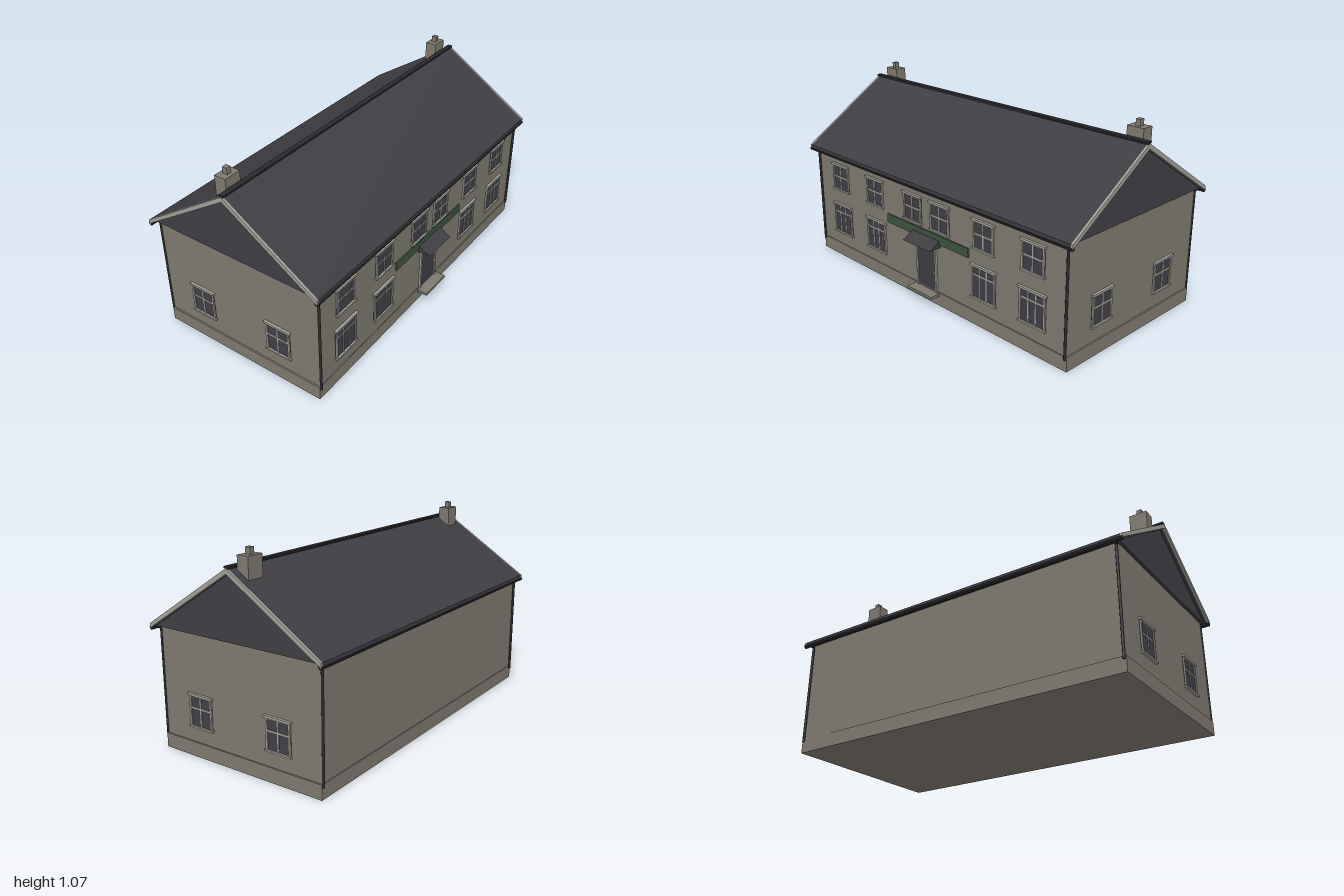
import * as THREE from 'three';

const paint = (name, color, side = THREE.FrontSide) => {
  const m = new THREE.MeshStandardMaterial({ color, side });
  m.name = name;
  return m;
};

export function createModel() {
  const stone = paint('stone', 0x7f7a70);
  const slate = paint('slate', 0x3f3e43);
  const trim = paint('pale trim', 0xa0a098);
  const glass = paint('dark glass', 0x403f47);
  const iron = paint('black iron', 0x2a2a2d);
  const green = paint('sign green', 0x3e543f);

  const house = new THREE.Group();
  house.name = 'house';
  const CX = -0.016; // middle of the house across its width

  function add(name, geo, mat, parent = house) {
    const m = new THREE.Mesh(geo, mat);
    m.name = name;
    parent.add(m);
    return m;
  }
  // box given by its lower and upper limits
  function box(name, mat, x0, x1, y0, y1, z0, z1, parent = house) {
    const m = add(name, new THREE.BoxGeometry(x1 - x0, y1 - y0, z1 - z0), mat, parent);
    m.position.set((x0 + x1) / 2, (y0 + y1) / 2, (z0 + z1) / 2);
    return m;
  }
  // x-y profile drawn out from z0 to z1
  function prism(name, mat, pts, z0, z1, parent = house) {
    const shape = new THREE.Shape(pts.map(p => new THREE.Vector2(p[0], p[1])));
    const geo = new THREE.ExtrudeGeometry(shape, { depth: z1 - z0, bevelEnabled: false });
    geo.translate(0, 0, z0);
    return add(name, geo, mat, parent);
  }

  // Walls and plinth
  box('plinth', stone, -0.503, 0.471, 0, 0.075, -0.965, 0.965);
  box('walls', stone, -0.498, 0.466, 0.075, 0.632, -0.957, 0.957);

  // Roof slabs, gables and bargeboards
  const chevron = [[-0.532, 0.627], [CX, 0.957], [0.5, 0.627], [0.5, 0.65], [CX, 0.983], [-0.532, 0.65]];
  prism('roof', slate, chevron, -0.988, 0.988);
  prism('gables', slate, [[-0.523, 0.632], [0.491, 0.632], [CX, 0.958]], -0.972, 0.972);
  for (const s of [-1, 1]) {
    prism('bargeboard', trim, chevron, s > 0 ? 0.988 : -1, s > 0 ? 1 : -0.988);
  }
  box('ridgeFoot', iron, CX - 0.009, CX + 0.009, 0.97, 0.984, -0.997, 0.997);
  box('ridgeCap', iron, CX - 0.014, CX + 0.014, 0.982, 0.991, -0.997, 0.997);

  // Chimneys
  for (const z of [-0.9, 0.896]) {
    box('chimney', stone, -0.101, -0.036, 0.88, 1.037, z - 0.047, z + 0.047);
    box('chimneyPot', stone, -0.083, -0.055, 1.037, 1.07, z - 0.013, z + 0.013);
  }

  // Gutters and downpipes on both long sides
  for (const s of [-1, 1]) {
    const gutter = [[-0.013, 0.632], [-0.009, 0.621], [0, 0.616], [0.009, 0.621], [0.013, 0.632]]
      .map(([x, y]) => [CX + s * 0.511 + x, y]);
    prism('gutter', iron, gutter, -0.998, 0.998);
    const px = CX + s * 0.489;
    for (const z of [-0.955, 0.955]) {
      const pipe = add('downpipe', new THREE.CylinderGeometry(0.007, 0.007, 0.565, 10), iron);
      pipe.position.set(px, 0.3425, z);
      const ax = CX + s * 0.511;
      box('pipeArm', iron, Math.min(px, ax), Math.max(px, ax), 0.617, 0.627, z - 0.006, z + 0.006);
    }
  }

  // Window built facing +z around x = 0: outer width, frame bottom and top, columns, transom height
  function makeWindow(w, y0, y1, cols, transom) {
    const g = new THREE.Group();
    g.name = 'window';
    const h = w / 2, f = 0.011;
    box('pane', glass, -h, h, y0, y1, 0, 0.004, g);
    for (const s of [-1, 1]) {
      box('frameSide', trim, s * (h - f / 2) - f / 2, s * (h - f / 2) + f / 2, y0, y1, 0, 0.009, g);
    }
    box('frameTop', trim, -h, h, y1 - f * 0.6, y1, 0, 0.009, g);
    for (let i = 1; i < cols; i++) {
      const x = -h + f + (i / cols) * (w - 2 * f);
      box('glazingBar', trim, x - 0.004, x + 0.004, y0, y1, 0, 0.007, g);
    }
    box('transom', trim, -h, h, transom - 0.0045, transom + 0.0045, 0, 0.007, g);
    box('lintel', trim, -h - 0.007, h + 0.007, y1, y1 + 0.012, 0, 0.014, g);
    box('sill', trim, -h - 0.006, h + 0.006, y0 - 0.009, y0, 0, 0.014, g);
    house.add(g);
    return g;
  }

  // End wall windows
  for (const s of [-1, 1]) {
    for (const x of [-0.257, 0.225]) {
      const win = makeWindow(0.144, 0.162, 0.316, 2, 0.255);
      win.position.set(x, 0, s * 0.957);
      if (s < 0) win.rotation.y = Math.PI;
    }
  }
  // Entrance side windows, upper and lower rows
  const onSide = (win, z) => {
    win.position.set(0.466, 0, z);
    win.rotation.y = Math.PI / 2;
  };
  for (const z of [0.75, 0.43, 0.107, -0.107, -0.425, -0.748]) onSide(makeWindow(0.142, 0.425, 0.564, 2, 0.5), z);
  for (const z of [0.75, 0.43, -0.425, -0.748]) onSide(makeWindow(0.164, 0.157, 0.323, 3, 0.28), z);

  // Door, with frame, handle and step
  box('door', slate, 0.46, 0.471, 0.07, 0.325, -0.07, 0.07);
  for (const s of [-1, 1]) {
    box('doorFrame', trim, 0.46, 0.477, 0.07, 0.327, s * 0.073 - 0.006, s * 0.073 + 0.006);
  }
  box('doorHead', trim, 0.46, 0.477, 0.318, 0.33, -0.079, 0.079);
  box('doorHandle', trim, 0.47, 0.48, 0.168, 0.188, -0.062, -0.056);
  box('doorStep', stone, 0.46, 0.53, 0.056, 0.07, -0.096, 0.096);

  // Sign board and sloping canopy
  box('signBoard', green, 0.46, 0.474, 0.352, 0.402, -0.32, 0.32);
  prism('canopy', slate, [[0.464, 0.335], [0.54, 0.335], [0.464, 0.379]], -0.106, 0.106);

  return house;
}
